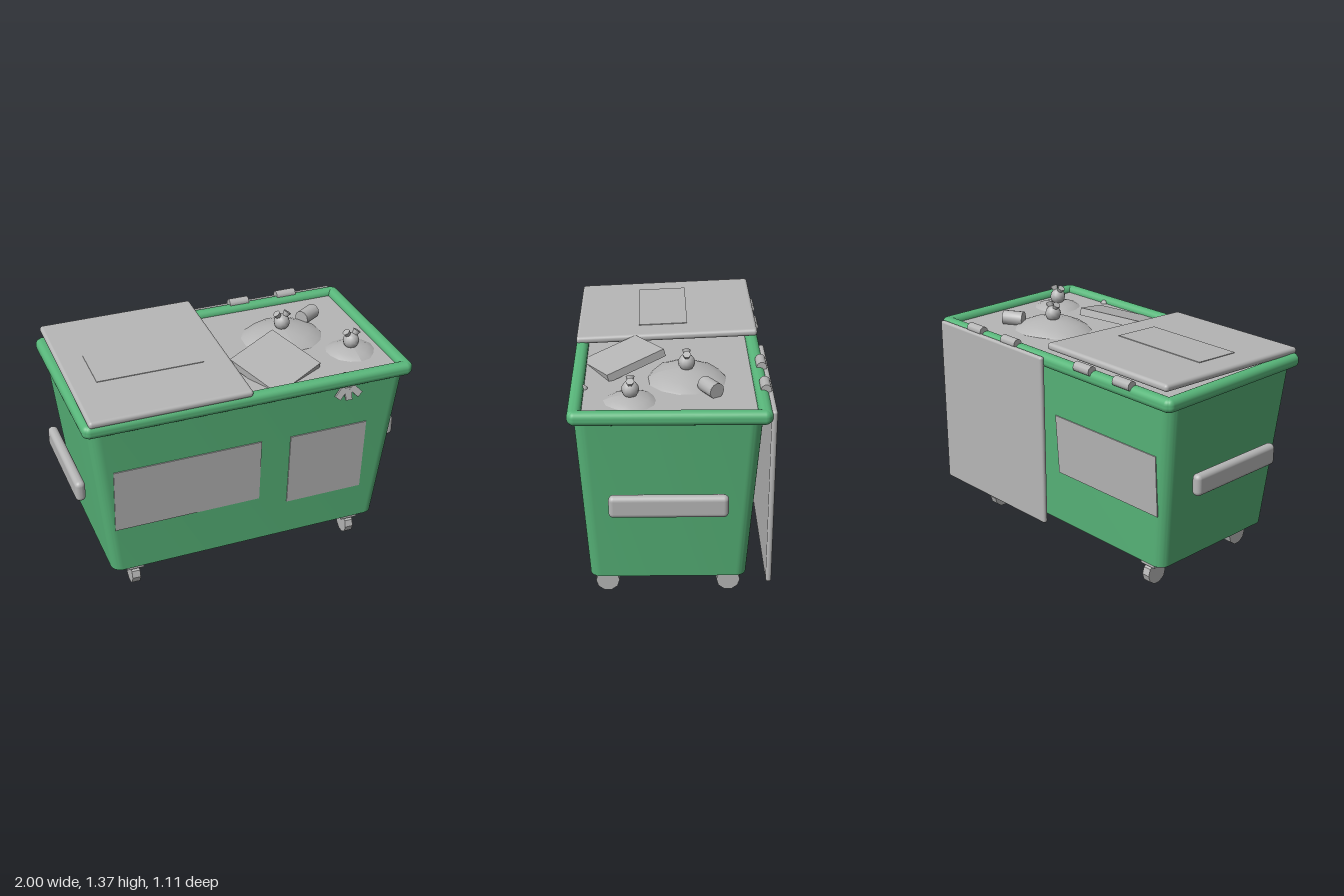
import * as THREE from 'three';
import { RoundedBoxGeometry } from 'three/addons/geometries/RoundedBoxGeometry.js';
import { toCreasedNormals } from 'three/addons/utils/BufferGeometryUtils.js';

export function createModel() {
  const model = new THREE.Group();
  const green = new THREE.MeshStandardMaterial({ name: 'greenPaint', color: 0x58b67a });
  const grey = new THREE.MeshStandardMaterial({ name: 'grey', color: 0xb6b6b6 });

  const add = (name, geo, mat, [x, y, z], [rx, ry, rz] = [0, 0, 0], parent = model) => {
    const m = new THREE.Mesh(geo, mat);
    m.name = name;
    m.position.set(x, y, z);
    m.rotation.set(rx, ry, rz);
    parent.add(m);
    return m;
  };
  const box = (w, h, d) => new THREE.BoxGeometry(w, h, d);
  const rounded = (w, h, d, r) => new RoundedBoxGeometry(w, h, d, 3, r);
  const creased = (geo) => toCreasedNormals(geo, 0.6);

  // Tapered tub: rounded rectangle extruded upward, narrowed toward the base
  const W = 0.95, D = 0.503, R = 0.07;
  const outline = new THREE.Shape();
  [[W, D, 0], [-W, D, 1], [-W, -D, 2], [W, -D, 3]].forEach(([x, y, q]) => {
    outline.absarc(x - Math.sign(x) * R, y - Math.sign(y) * R, R, q * Math.PI / 2, (q + 1) * Math.PI / 2);
  });
  const tub = new THREE.ExtrudeGeometry(outline, { depth: 1.03, bevelEnabled: false, curveSegments: 6 });
  tub.rotateX(-Math.PI / 2);
  const p = tub.attributes.position;
  for (let i = 0; i < p.count; i++) {
    const t = p.getY(i) / 1.03;
    p.setX(i, p.getX(i) * THREE.MathUtils.lerp(0.84 / W, 1, t));
    p.setZ(i, p.getZ(i) * THREE.MathUtils.lerp(0.44 / D, 1, t));
  }
  add('tub', creased(tub), green, [0, 0.17, 0.017]);

  // Rim bars
  for (const z of [0.515, -0.495]) add('rimLong', rounded(1.95, 0.08, 0.075, 0.034), green, [0, 1.21, z]);
  for (const s of [-1, 1]) add('rimShort', rounded(0.075, 0.08, 1.07, 0.034), green, [s * 0.947, 1.21, 0.01]);

  // Rubbish surface inside the rim
  add('rubbishFill', box(1.84, 0.02, 0.96), grey, [0, 1.204, 0.01]);

  // Closed lid with raised panel
  const lid = new THREE.Group();
  lid.name = 'closedLid';
  lid.position.set(-0.48, 1.282, 0.015);
  lid.rotation.x = 0.044;
  model.add(lid);
  add('lidSlab', rounded(0.94, 0.042, 1.07, 0.019), grey, [0, 0, 0], [0, 0, 0], lid);
  add('lidPanel', box(0.63, 0.006, 0.29), grey, [-0.005, 0.022, 0.02], [0, 0, 0], lid);

  // Open lid hanging behind
  add('openLid', rounded(0.945, 1.05, 0.032, 0.015), grey, [0.474, 0.715, -0.54]);

  // Hinge barrels
  for (const x of [-0.632, -0.32, 0.313, 0.628]) {
    add('hinge', new THREE.CylinderGeometry(0.03, 0.03, 0.125, 10), grey, [x, 1.25, -0.515], [0, 0, Math.PI / 2]);
  }

  // Side handles
  for (const s of [-1, 1]) add('sideHandle', rounded(0.06, 0.13, 0.65, 0.028), grey, [s * 0.97, 0.695, 0.017]);

  // Thin sign plates following the sloped walls
  const frontZ = (y) => 0.457 + (y - 0.17) * 0.061;
  const backZ = (y) => -0.423 - (y - 0.17) * 0.061;
  add('frontSignWide', box(0.88, 0.415, 0.008), grey, [-0.38, 0.693, frontZ(0.693) + 0.002], [0.061, 0, 0]);
  add('frontSignSmall', box(0.48, 0.48, 0.008), grey, [0.48, 0.65, frontZ(0.65) + 0.002], [0.061, 0, 0]);
  add('backSign', box(0.81, 0.37, 0.008), grey, [-0.425, 0.688, backZ(0.688) - 0.002], [-0.061, 0, 0]);

  // Casters
  const wheel = creased(new THREE.CylinderGeometry(0.068, 0.068, 0.05, 10));
  for (const x of [-0.695, 0.695]) {
    for (const z of [0.365, -0.33]) {
      add('casterBracket', box(0.104, 0.05, 0.105), grey, [x, 0.148, z]);
      add('casterWheel', wheel, grey, [x, 0.067, z], [0, 0, Math.PI / 2]);
    }
  }

  // Tied rubbish bags: uneven low mound, knot and two ears
  const bag = (x, z, r, sz, top) => {
    const g = new THREE.Group();
    g.name = 'rubbishBag';
    g.position.set(x, 0, z);
    model.add(g);
    const h = top - 1.2;
    const profile = [[r, 0], [r * 0.9, 0.3], [r * 0.65, 0.65], [r * 0.35, 0.88], [0, 1]]
      .map(([a, b]) => new THREE.Vector2(a, b * h));
    const mound = new THREE.LatheGeometry(profile, 14);
    const mp = mound.attributes.position;
    for (let i = 0; i < mp.count; i++) {
      const a = Math.atan2(mp.getZ(i), mp.getX(i));
      const k = 1 + 0.035 * Math.sin(3 * a + r * 20) + 0.02 * Math.cos(5 * a);
      mp.setX(i, mp.getX(i) * k);
      mp.setZ(i, mp.getZ(i) * k * sz);
    }
    mound.computeVertexNormals();
    add('bagMound', mound, grey, [0, 1.2, 0], [0, 0, 0], g);
    add('bagKnot', new THREE.SphereGeometry(0.048, 12, 8), grey, [0, top + 0.03, 0], [0, 0, 0], g);
    for (const s of [-1, 1]) {
      add('bagEar', new THREE.CylinderGeometry(0.024, 0.012, 0.045, 6), grey,
        [s * 0.023, top + 0.072, 0], [0, 0, -s * 0.6], g);
    }
  };
  bag(0.425, -0.09, 0.265, 0.88, 1.275);
  bag(0.735, 0.22, 0.16, 0.98, 1.25);

  // Discarded can and tilted carton
  add('can', creased(new THREE.CylinderGeometry(0.045, 0.045, 0.125, 12)), grey,
    [0.65, 1.25, -0.215], [0, 0.55, Math.PI / 2]);
  add('carton', box(0.37, 0.045, 0.37), grey, [0.23, 1.25, 0.27], [0.27, 0.475, 0]);

  // Peel draped over the front rim
  const peel = new THREE.Group();
  peel.name = 'peel';
  peel.position.set(0.575, 1.165, 0.535);
  model.add(peel);
  for (const s of [-1, 0, 1]) {
    add('peelStrip', box(0.04, 0.075, 0.014), grey, [s * 0.045, s ? -0.025 : -0.037, 0], [-0.25, 0, s * 0.75], peel);
  }
  add('peelTip', new THREE.SphereGeometry(0.025, 8, 6), grey, [0, 0.045, -0.055], [0, 0, 0], peel);

  return model;
}
